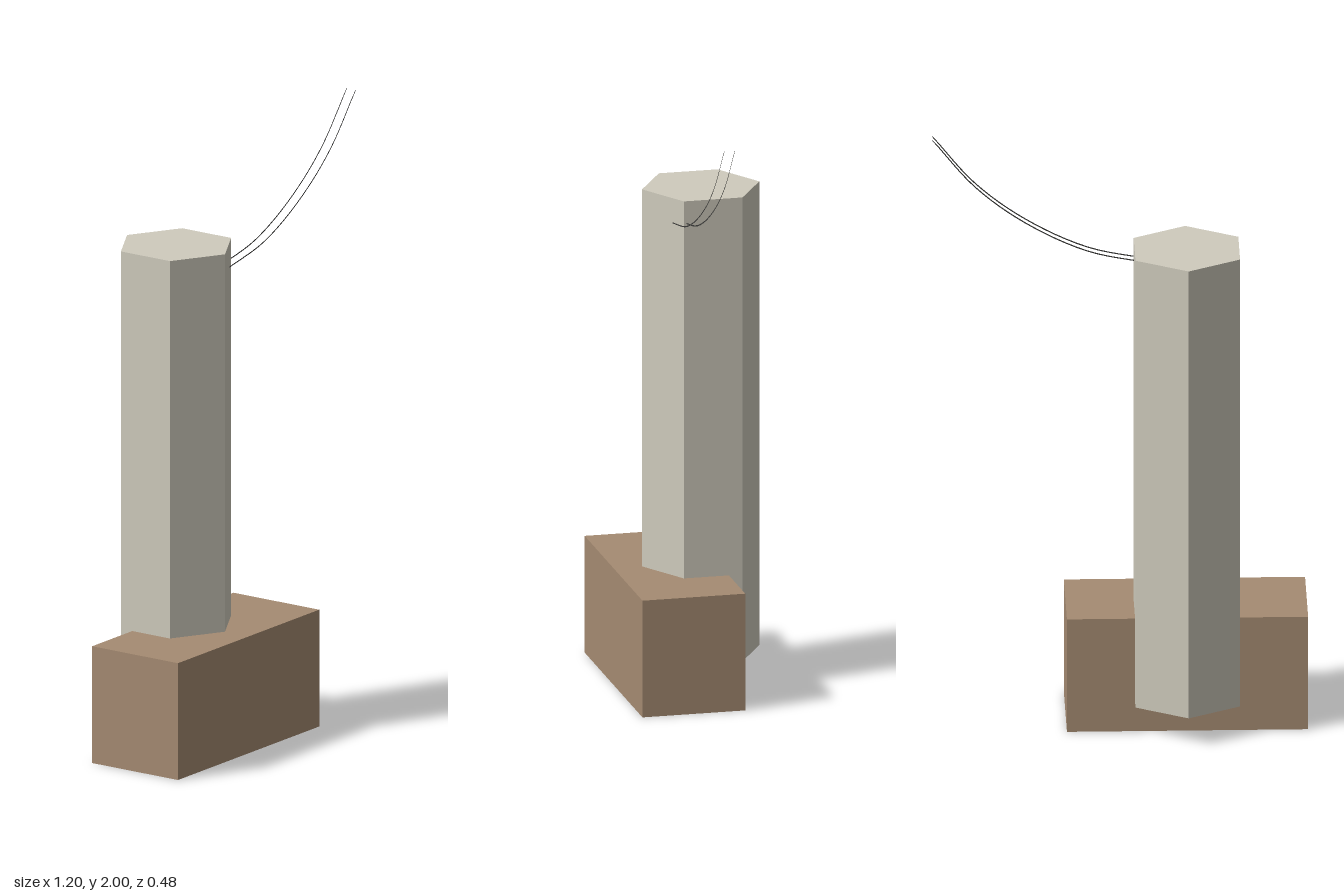
import * as THREE from 'three';

export function createModel() {
  const model = new THREE.Group();
  const stone = new THREE.MeshStandardMaterial({ name: 'pale stone', color: 0xcfcbbd, flatShading: true });
  const wood = new THREE.MeshStandardMaterial({ name: 'brown wood', color: 0xa58b72, flatShading: true });
  const dark = new THREE.MeshStandardMaterial({ name: 'dark wire', color: 0x3a3a38, side: THREE.DoubleSide });

  const add = (name, geometry, material, x, y, z) => {
    const mesh = new THREE.Mesh(geometry, material);
    mesh.name = name;
    mesh.position.set(x, y, z);
    model.add(mesh);
  };

  // Block base and the hexagonal post set into its back
  add('base', new THREE.BoxGeometry(0.775, 0.39, 0.34), wood, -0.2175, 0.195, 0.07);
  add('post', new THREE.CylinderGeometry(0.194, 0.194, 1.55, 6), stone, -0.217, 0.875, -0.048);

  // Pair of hair-thin curved strips rising from the post
  const curve = new THREE.CatmullRomCurve3([
    [-0.105, 1.565], [0.1, 1.61], [0.3, 1.71], [0.46, 1.835], [0.598, 2.0],
  ].map(([x, y]) => new THREE.Vector3(x, y, 0)));
  const spine = curve.getPoints(24);
  const half = 0.0018;
  const outline = [
    ...spine.map((p) => new THREE.Vector2(p.x + half * 0.5, p.y - half)),
    ...spine.slice().reverse().map((p) => new THREE.Vector2(p.x - half * 0.5, Math.min(p.y + half, 2))),
  ];
  const strip = new THREE.ShapeGeometry(new THREE.Shape(outline));
  [['frontWire', 0.075], ['backWire', 0.04]].forEach(([name, z]) => add(name, strip, dark, 0, 0, z));

  return model;
}
